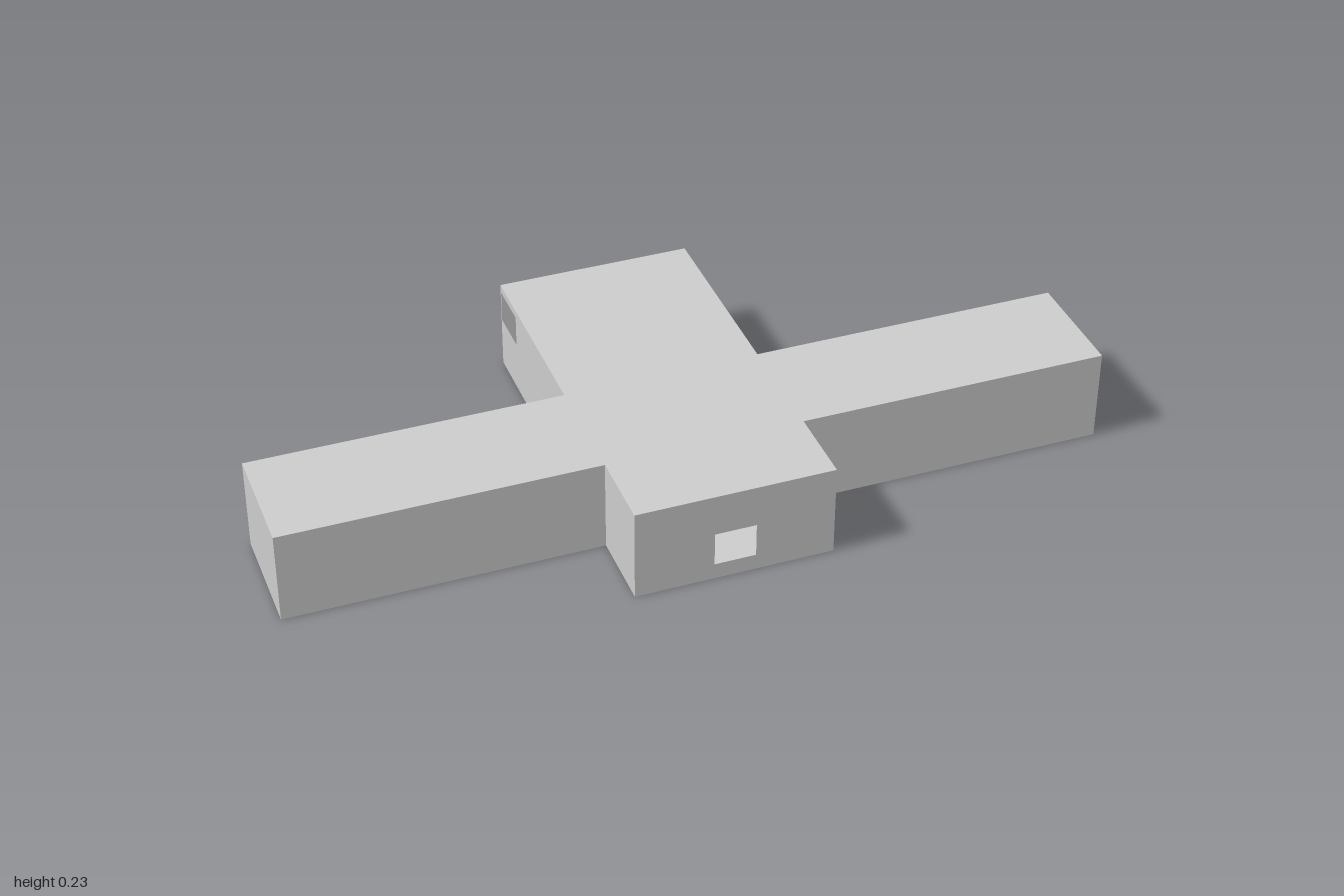
import * as THREE from 'three';

const HEIGHT = 0.23;
const BODY_X = 0.24, BODY_Z = 0.485, ARM_BACK = 0.005, ARM_FRONT = 0.29;

// Cross-shaped footprint, as [x, z] corners
const FOOTPRINT = [
  [-BODY_X, BODY_Z], [BODY_X, BODY_Z], [BODY_X, ARM_FRONT], [1, ARM_FRONT],
  [1, ARM_BACK], [BODY_X, ARM_BACK], [BODY_X, -BODY_Z], [-BODY_X, -BODY_Z],
  [-BODY_X, ARM_BACK], [-1, ARM_BACK], [-1, ARM_FRONT], [-BODY_X, ARM_FRONT],
];

// Openings per wall index: [start along wall, end along wall, bottom, top]
const OPENINGS = {
  0: [BODY_X - 0.05, BODY_X + 0.05, 0.04, 0.125],
  7: [0.004, 0.12, 0.13, 0.21],
};

function rectangle(path, x0, x1, y0, y1) {
  path.moveTo(x0, y0).lineTo(x1, y0).lineTo(x1, y1).lineTo(x0, y1).closePath();
  return path;
}

export function createModel() {
  const group = new THREE.Group();
  group.name = 'crossBuilding';
  const material = new THREE.MeshStandardMaterial({ color: 0xcccccc, side: THREE.DoubleSide });

  // Thin outer walls, two of them pierced by a small opening
  FOOTPRINT.forEach(([x, z], i) => {
    const [nx, nz] = FOOTPRINT[(i + 1) % FOOTPRINT.length];
    const shape = rectangle(new THREE.Shape(), 0, Math.hypot(nx - x, nz - z), 0, HEIGHT);
    if (OPENINGS[i]) shape.holes.push(rectangle(new THREE.Path(), ...OPENINGS[i]));
    const wall = new THREE.Mesh(new THREE.ShapeGeometry(shape), material);
    wall.name = `wall${i + 1}`;
    wall.position.set(x, 0, z);
    wall.rotation.y = Math.atan2(z - nz, nx - x);
    group.add(wall);
  });

  // Flat roof, facing up
  const outline = FOOTPRINT.map(([x, z]) => new THREE.Vector2(x, -z));
  const roof = new THREE.Mesh(new THREE.ShapeGeometry(new THREE.Shape(outline)), material);
  roof.name = 'roof';
  roof.rotation.x = -Math.PI / 2;
  roof.position.y = HEIGHT;
  group.add(roof);

  // Floor, facing down
  const flipped = FOOTPRINT.map(([x, z]) => new THREE.Vector2(x, z));
  const floor = new THREE.Mesh(new THREE.ShapeGeometry(new THREE.Shape(flipped)), material);
  floor.name = 'floor';
  floor.rotation.x = Math.PI / 2;
  group.add(floor);

  return group;
}
